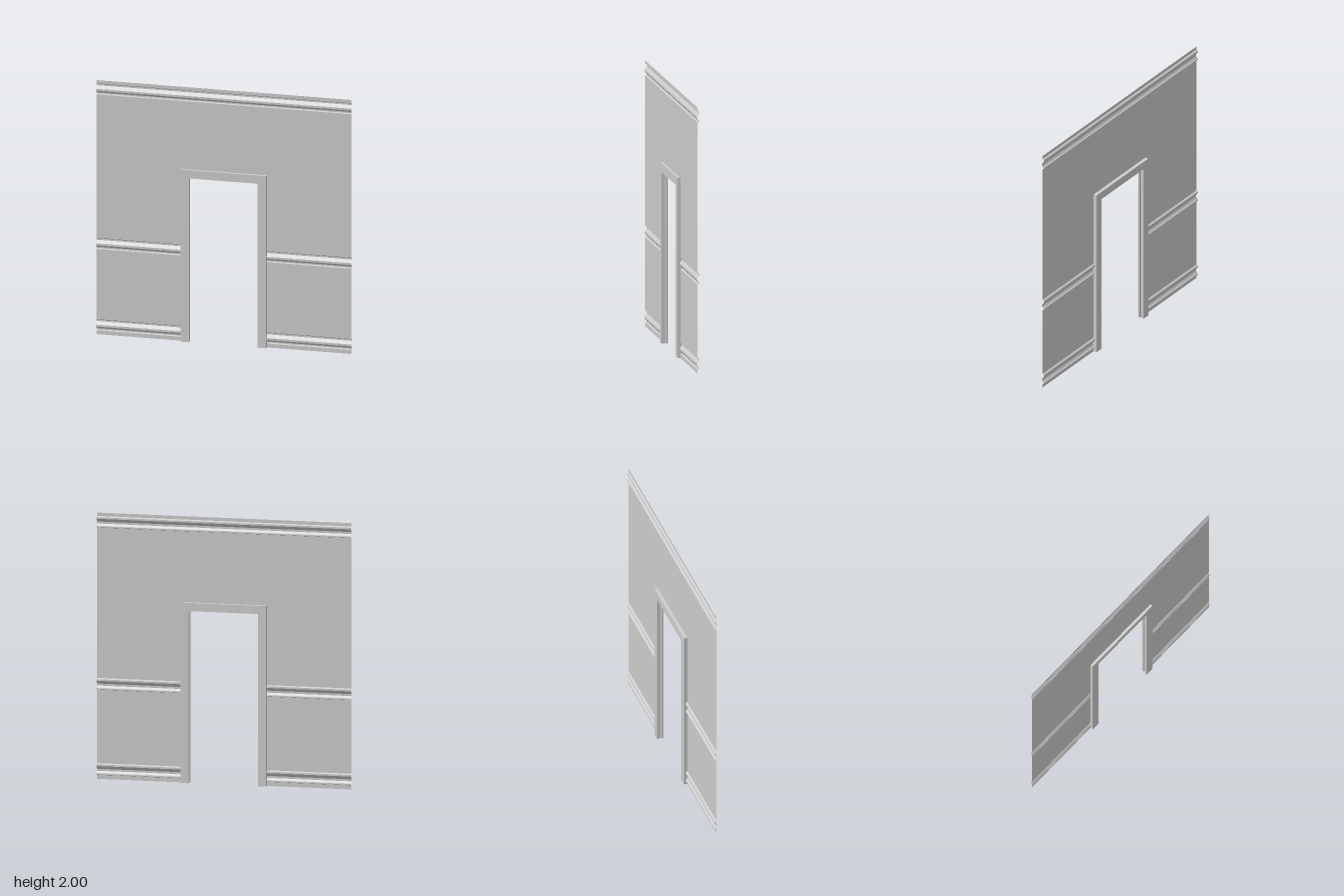
import * as THREE from 'three';

const W = 0.966;       // half width of the wall
const FRAME = 0.325;   // half outer width of the door frame
const HEAD = 1.355;    // top of the door frame
const WALL_Z = 0.003;

const material = new THREE.MeshStandardMaterial({
  color: 0xcccccc, flatShading: true, side: THREE.DoubleSide,
});

// Moulding section: [height above its lower edge, z]
const MOULDING = [
  [0, WALL_Z], [0.004, -0.01], [0.013, -0.01], [0.017, -0.002], [0.03, 0.007],
  [0.045, 0.007], [0.055, 0], [0.068, -0.01], [0.08, -0.01], [0.088, WALL_Z],
];
const mouldingAt = (y) => MOULDING.map(([dy, z]) => [y + dy, z]);

// Joins rows of points with quads
function skin(rows, closing = []) {
  const pos = [];
  for (let j = 0; j + 1 < rows.length; j++) {
    for (let i = 0; i + 1 < rows[j].length; i++) {
      const a = rows[j][i], b = rows[j][i + 1];
      const c = rows[j + 1][i + 1], d = rows[j + 1][i];
      pos.push(...a, ...b, ...c, ...a, ...c, ...d);
    }
  }
  closing.forEach((p) => pos.push(...p));
  const geo = new THREE.BufferGeometry();
  geo.setAttribute('position', new THREE.Float32BufferAttribute(pos, 3));
  geo.computeVertexNormals();
  return geo;
}

function addMesh(group, name, geo) {
  const mesh = new THREE.Mesh(geo, material);
  mesh.name = name;
  group.add(mesh);
}

// Thin wall sheet that follows a [y, z] profile
const sheet = (x0, x1, profile) =>
  skin(profile.map(([y, z]) => [[x0, y, z], [x1, y, z]]));

// Frame section swept up one jamb, across the head and down the other
function frameGeometry() {
  // [inset from outer edge, z], with a groove along the opening
  const section = [
    [0, 0.024], [0.065, 0.024], [0.065, 0.01], [0.053, 0.007],
    [0.053, -0.007], [0.062, -0.01], [0.062, -0.024], [0, -0.024],
  ];
  const ring = [...section, section[0]];
  const path = [[-1, 0], [-1, 1], [1, 1], [1, 0]];
  const rows = path.map(([side, top]) =>
    ring.map(([d, z]) => [side * (FRAME - d), top * (HEAD - d), z]));

  // Feet of the jambs
  const points = section.map(([d, z]) => new THREE.Vector2(d, z));
  const caps = [];
  for (const tri of THREE.ShapeUtils.triangulateShape(points, [])) {
    const p = tri.map((i) => points[i]);
    const area = (p[1].x - p[0].x) * (p[2].y - p[0].y) - (p[2].x - p[0].x) * (p[1].y - p[0].y);
    if (area < 0) p.reverse();
    p.forEach((v) => caps.push([v.x - FRAME, 0, v.y]));
    [...p].reverse().forEach((v) => caps.push([FRAME - v.x, 0, v.y]));
  }
  return skin(rows, caps);
}

export function createModel() {
  const group = new THREE.Group();
  group.name = 'doorwayWall';

  // Wall beside the door, with skirting and dado mouldings
  const seam = HEAD - 0.02;
  const lower = [[0, WALL_Z], ...mouldingAt(0.03), ...mouldingAt(0.67), [seam, WALL_Z]];
  addMesh(group, 'rightWall', sheet(-W, -FRAME + 0.01, lower));
  addMesh(group, 'leftWall', sheet(FRAME - 0.01, W, lower));

  // Wall above the door, with the cornice moulding
  const upper = [[seam, WALL_Z], ...mouldingAt(1.887), [2, WALL_Z]];
  addMesh(group, 'upperWall', sheet(-W, W, upper));

  addMesh(group, 'doorFrame', frameGeometry());
  return group;
}
